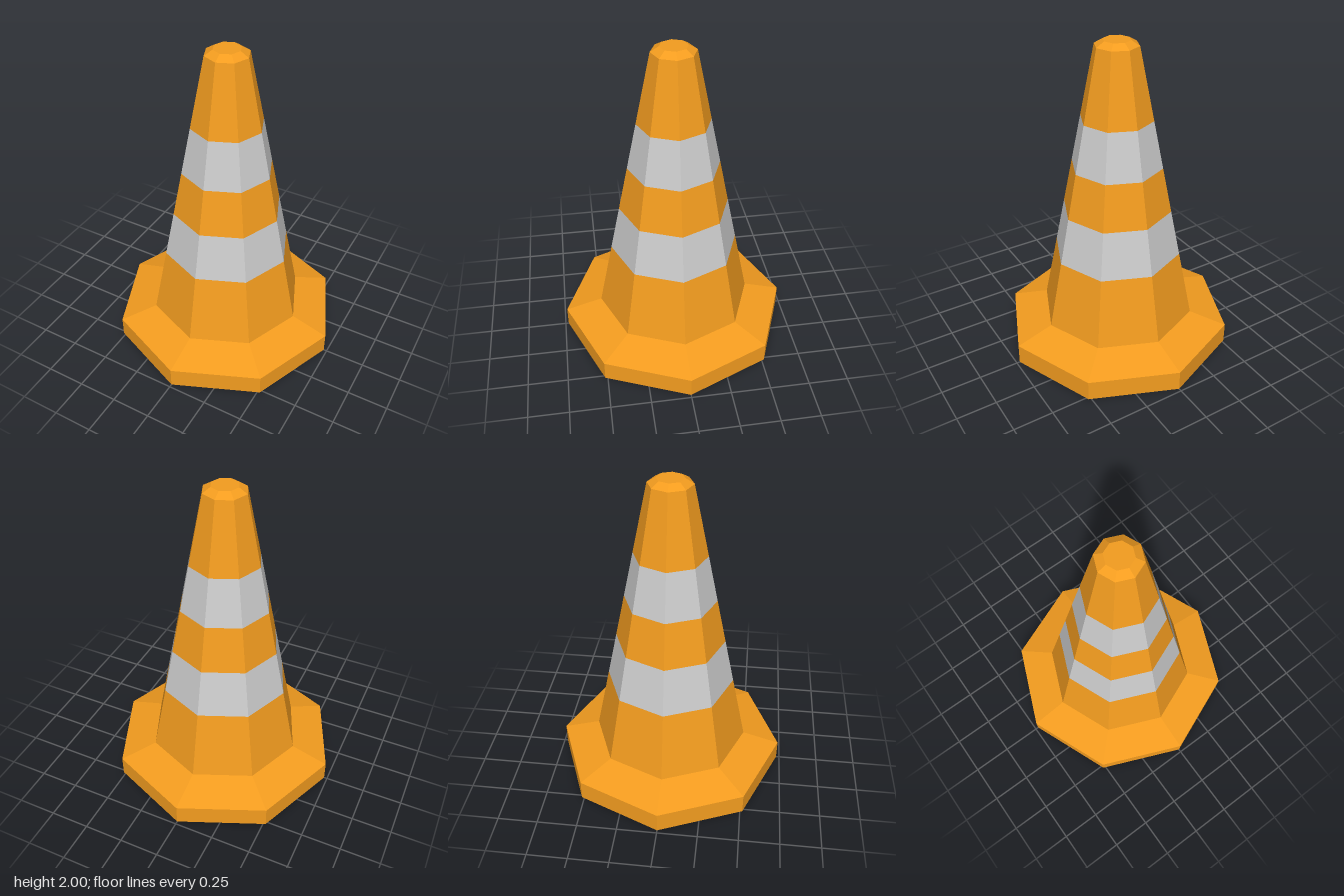
import * as THREE from 'three';

const SIDES = 8;
const orange = new THREE.MeshStandardMaterial({ color: 0xf39c1f, flatShading: true });
const grey = new THREE.MeshStandardMaterial({ color: 0xcccccc, flatShading: true });

// Cone wall radius at a given height
const BOTTOM = 0.2, TOP = 1.97;
const wallRadius = (y) => THREE.MathUtils.mapLinear(y, BOTTOM, TOP, 0.495, 0.133);

// Eight-sided turned part from [radius, height] pairs
function turned(name, profile, material) {
  const points = profile.map(([r, y]) => new THREE.Vector2(r, y));
  const mesh = new THREE.Mesh(new THREE.LatheGeometry(points, SIDES), material);
  mesh.name = name;
  return mesh;
}

export function createModel() {
  const cone = new THREE.Group();
  cone.name = 'trafficCone';

  // Hollow underside: closed ceiling, inner wall and sloping flare
  cone.add(turned('hollowInside', [[0, 1.9], [0.09, 1.9], [0.39, 0.15], [0.59, 0]], orange));

  // Foot: bottom rim, upright edge and sloping top
  cone.add(turned('base', [[0.59, 0], [0.73, 0], [0.73, 0.13], [wallRadius(BOTTOM), BOTTOM]], orange));

  // Cone wall in alternating orange and grey bands
  const heights = [BOTTOM, 0.64, 0.94, 1.23, 1.53, TOP];
  for (let i = 0; i < heights.length - 1; i++) {
    const [low, high] = [heights[i], heights[i + 1]];
    const striped = i % 2 === 1;
    cone.add(turned(
      (striped ? 'greyStripe' : 'orangeBand') + (Math.floor(i / 2) + 1),
      [[wallRadius(low), low], [wallRadius(high), high]],
      striped ? grey : orange
    ));
  }

  // Bevelled tip
  cone.add(turned('tip', [[wallRadius(TOP), TOP], [0.083, 2], [0, 2]], orange));

  return cone;
}
